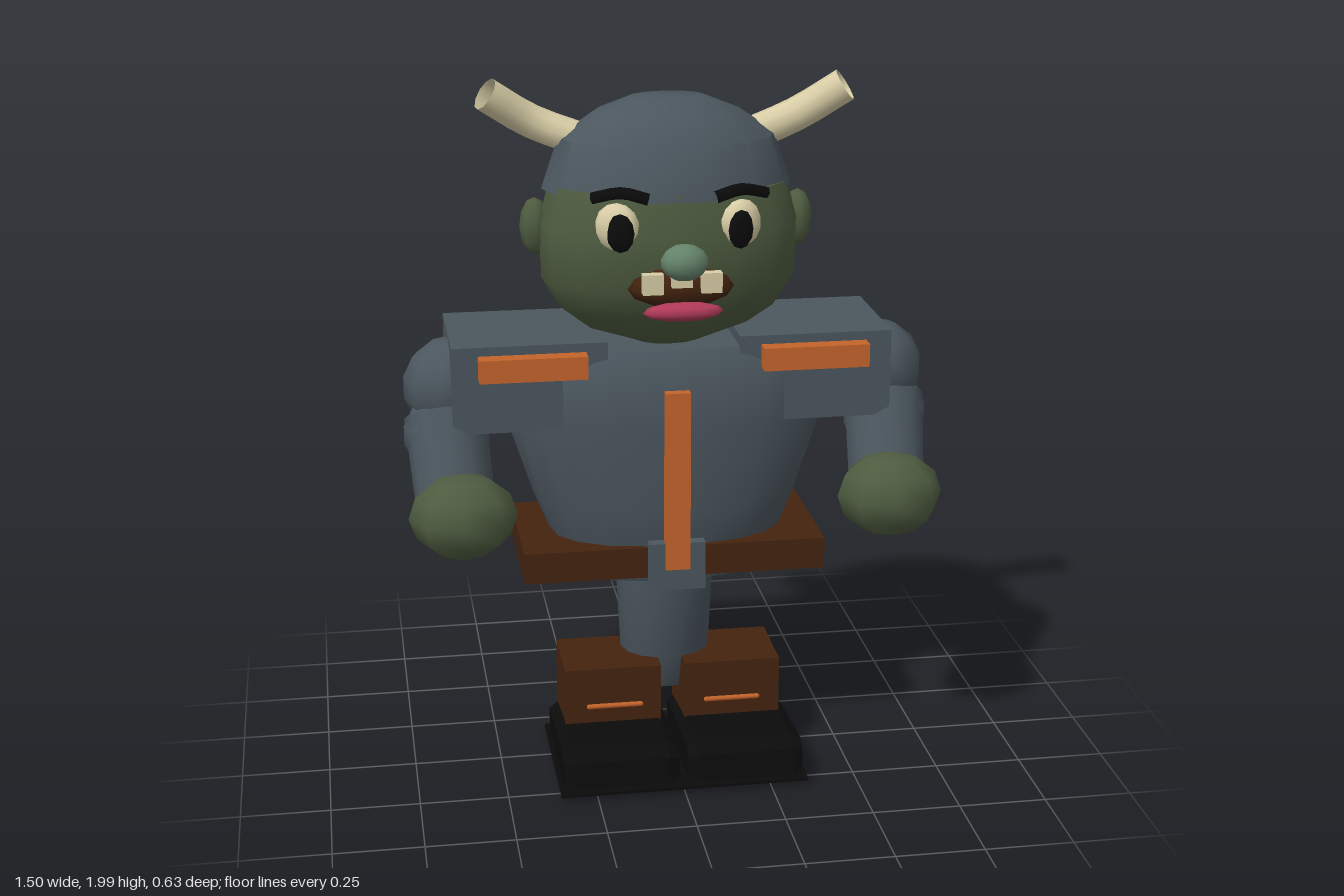
import * as THREE from 'three';
import { toCreasedNormals } from 'three/addons/utils/BufferGeometryUtils.js';

const material = (name, color, side = THREE.FrontSide) => {
  const m = new THREE.MeshStandardMaterial({ color, side });
  m.name = name;
  return m;
};

// Closed body from oval rings [y, half width, front z, back z], bottom to top
function loft(rings, sides = 16, power = 1, crease = 0.7) {
  const pos = [], idx = [];
  const bend = v => Math.sign(v) * Math.abs(v) ** power;
  rings.forEach(([y, w, f, b]) => {
    for (let i = 0; i < sides; i++) {
      const a = (i / sides) * Math.PI * 2;
      pos.push(bend(Math.cos(a)) * w, y, (f + b) / 2 + bend(Math.sin(a)) * (f - b) / 2);
    }
  });
  const top = rings.length - 1, cap = rings.length * sides;
  for (const r of [rings[0], rings[top]]) pos.push(0, r[0], (r[2] + r[3]) / 2);
  for (let i = 0; i < sides; i++) {
    const j = (i + 1) % sides;
    for (let k = 0; k < top; k++) {
      const a = k * sides + i, b = k * sides + j;
      idx.push(a, a + sides, b, b, a + sides, b + sides);
    }
    idx.push(cap, i, j, cap + 1, top * sides + j, top * sides + i);
  }
  const g = new THREE.BufferGeometry();
  g.setAttribute('position', new THREE.Float32BufferAttribute(pos, 3));
  g.setIndex(idx);
  return toCreasedNormals(g, crease);
}

export function createModel() {
  const slate = material('slate', 0x4b565e);
  const skin = material('greenSkin', 0x4e5c40);
  const noseGreen = material('noseGreen', 0x64836a);
  const leather = material('brownLeather', 0x43230f);
  const orange = material('orangeTrim', 0xc4642b);
  const black = material('black', 0x0b0b0c);
  const bone = material('bone', 0xd8cda6, THREE.DoubleSide);
  const pink = material('pinkLip', 0xb03a58);

  const model = new THREE.Group();
  model.name = 'hornedOgre';

  const add = (name, geometry, mat, x = 0, y = 0, z = 0) => {
    const mesh = new THREE.Mesh(geometry, mat);
    mesh.name = name;
    mesh.position.set(x, y, z);
    model.add(mesh);
    return mesh;
  };
  // Box given by its limits on each axis
  const box = (name, mat, x0, x1, y0, y1, z0, z1) =>
    add(name, new THREE.BoxGeometry(Math.abs(x1 - x0), y1 - y0, z1 - z0), mat,
      (x0 + x1) / 2, (y0 + y1) / 2, (z0 + z1) / 2);
  const ball = (name, mat, x, y, z, rx, ry, rz, w = 10, h = 7) =>
    add(name, new THREE.SphereGeometry(1, w, h).scale(rx, ry, rz), mat, x, y, z);

  // Torso, leg column and belt
  add('torso', loft([
    [0.56, 0.29, 0.07, -0.29], [0.68, 0.335, 0.115, -0.31], [0.79, 0.38, 0.135, -0.318],
    [1.04, 0.46, 0.14, -0.28], [1.18, 0.45, 0.14, -0.26], [1.255, 0.38, 0.1, -0.23],
  ], 18, 0.85), slate);
  add('legs', loft([
    [0.18, 0.1, -0.03, -0.2], [0.3, 0.132, 0.02, -0.205], [0.57, 0.145, 0.045, -0.23],
  ], 14), slate);
  box('belt', leather, -0.43, 0.43, 0.595, 0.685, -0.302, 0.125);
  box('buckle', slate, -0.08, 0.08, 0.565, 0.705, 0.12, 0.155);
  box('chestStripe', orange, -0.035, 0.035, 0.63, 1.15, 0.13, 0.167);

  // Head and helmet
  add('head', loft([
    [1.255, 0.1, 0.03, -0.17], [1.3, 0.235, 0.08, -0.2], [1.36, 0.305, 0.15, -0.21],
    [1.45, 0.355, 0.205, -0.22], [1.6, 0.36, 0.21, -0.235], [1.71, 0.33, 0.19, -0.25],
  ], 16, 0.9, 0.9), skin);
  add('helmet', loft([
    [1.69, 0.348, 0.2, -0.29], [1.83, 0.3, 0.165, -0.255],
    [1.9, 0.2, 0.1, -0.18], [1.94, 0.1, 0.03, -0.1],
  ], 14, 1, 0.6), slate);

  // Face
  ball('nose', noseGreen, 0, 1.545, 0.265, 0.065, 0.05, 0.052);
  ball('mouth', leather, 0, 1.462, 0.205, 0.145, 0.056, 0.045, 12, 6);
  ball('lowerLip', pink, 0, 1.405, 0.245, 0.11, 0.026, 0.034, 12, 6);
  for (const x of [-0.083, -0.005, 0.075])
    box('tooth', bone, x - 0.028, x + 0.028, x === -0.005 ? 1.475 : 1.458, 1.513, 0.235, 0.265);

  for (const s of [1, -1]) {
    const side = s > 0 ? 'left' : 'right';
    // Eye, brow and ear
    ball(side + 'Eye', bone, s * 0.168, 1.625, 0.172, 0.062, 0.066, 0.038).rotation.y = s * 0.35;
    ball(side + 'Pupil', black, s * 0.163, 1.615, 0.205, 0.038, 0.053, 0.02, 8, 6).rotation.y = s * 0.3;
    const brow = new THREE.CatmullRomCurve3([
      new THREE.Vector3(s * 0.09, 1.708, 0.222),
      new THREE.Vector3(s * 0.16, 1.726, 0.212),
      new THREE.Vector3(s * 0.235, 1.708, 0.18),
    ]);
    add(side + 'Brow', new THREE.TubeGeometry(brow, 6, 0.017, 6), black);
    ball(side + 'Ear', skin, s * 0.368, 1.588, -0.04, 0.042, 0.08, 0.052, 8, 6);

    // Open-ended curved horn
    const horn = new THREE.CatmullRomCurve3([
      new THREE.Vector3(s * 0.22, 1.815, -0.055),
      new THREE.Vector3(s * 0.37, 1.872, -0.072),
      new THREE.Vector3(s * 0.495, 1.955, -0.035),
    ]);
    add(side + 'Horn', new THREE.TubeGeometry(horn, 6, 0.047, 10), bone);

    // Shoulder plate with its trim
    box(side + 'ShoulderPlate', slate, s * 0.185, s * 0.615, 1.038, 1.285, -0.278, 0.095);
    box(side + 'ShoulderTrim', orange, s * 0.245, s * 0.543, 1.195, 1.26, 0.09, 0.142);

    // Arm and hand
    ball(side + 'Shoulder', slate, s * 0.605, 1.135, -0.06, 0.14, 0.14, 0.135);
    const from = new THREE.Vector3(s * 0.63, 1.06, -0.03);
    const to = new THREE.Vector3(s * 0.615, 0.84, 0.09);
    const arm = add(side + 'Forearm', new THREE.CylinderGeometry(0.115, 0.11, from.distanceTo(to), 12), slate);
    arm.position.lerpVectors(from, to, 0.5);
    arm.quaternion.setFromUnitVectors(new THREE.Vector3(0, 1, 0), from.clone().sub(to).normalize());
    ball(side + 'Elbow', slate, s * 0.628, 1.01, -0.01, 0.122, 0.12, 0.115);
    ball(side + 'Hand', skin, s * 0.6, 0.833, 0.185, 0.15, 0.12, 0.128, 8, 6);

    // Boot cuff with a small stitched strip
    box(side + 'BootCuff', leather, s * 0.035, s * 0.315, 0.065, 0.295, -0.163, 0.07);
    const strip = add(side + 'BootStrip', new THREE.CapsuleGeometry(0.008, 0.15, 3, 6), orange, s * 0.172, 0.185, 0.085);
    strip.rotation.z = Math.PI / 2;

    // Shoe: bevelled side profile drawn in z and y, turned to run along x
    const profile = new THREE.Shape([
      [0.235, 0.025], [0.288, 0.048], [0.278, 0.1], [0.245, 0.122],
      [0, 0.105], [-0.135, 0.085], [-0.105, 0.025],
    ].map(([z, y]) => new THREE.Vector2(-z, y)));
    const shoe = new THREE.ExtrudeGeometry(profile, {
      depth: 0.27, bevelThickness: 0.03, bevelSize: 0.018, bevelSegments: 1,
    });
    shoe.rotateY(Math.PI / 2);
    add(side + 'Shoe', shoe, black, s * 0.178 - 0.135);
  }

  // Flat sole sheet under both shoes
  box('sole', black, -0.355, 0.355, 0.016, 0.024, -0.155, 0.312);
  // Shoe bottoms
  box('heelPad', black, -0.3, 0.3, 0, 0.016, -0.11, 0.25);
  return model;
}
